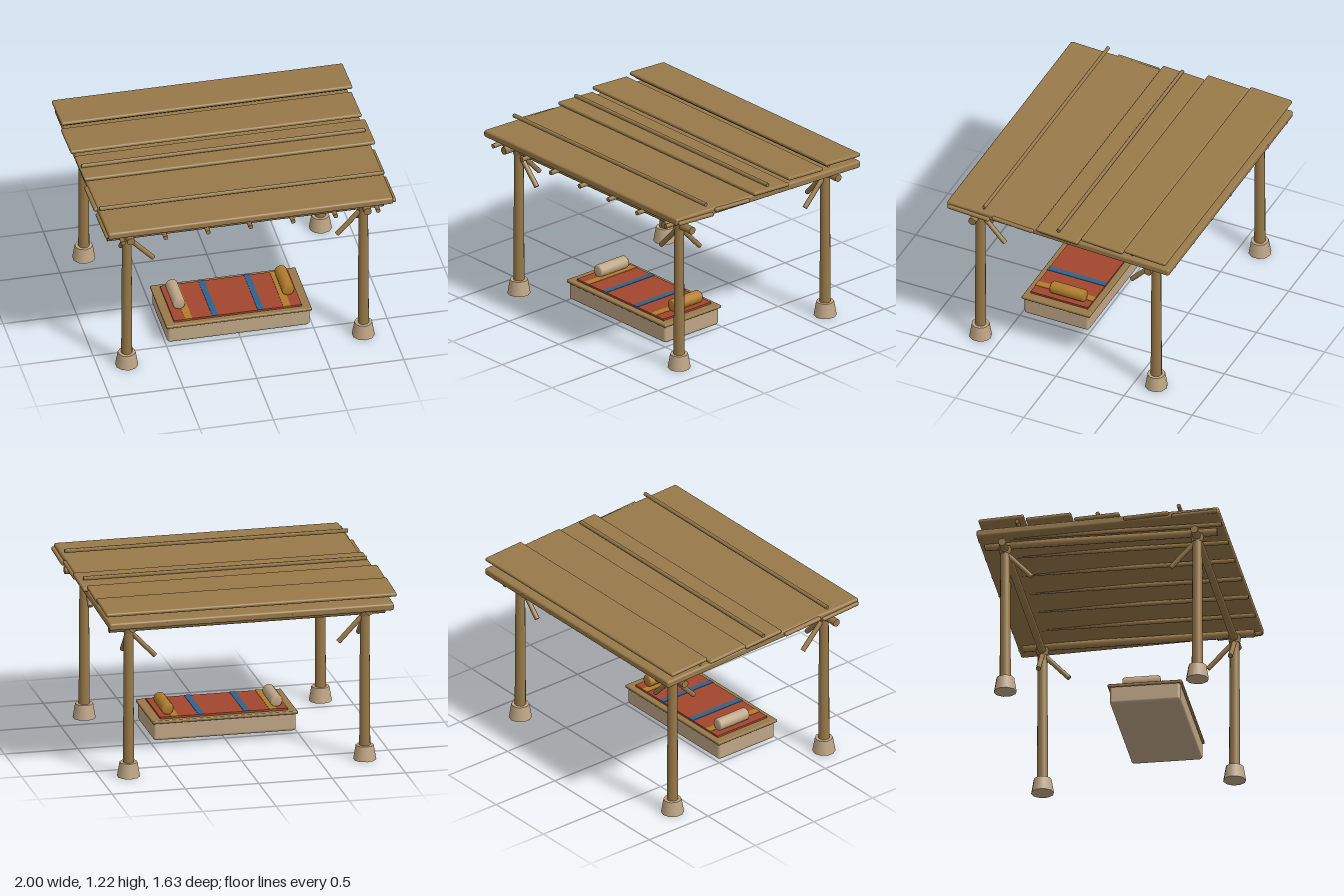
import * as THREE from 'three';
import { RoundedBoxGeometry } from 'three/addons/geometries/RoundedBoxGeometry.js';

const paint = (name, color) => {
  const m = new THREE.MeshStandardMaterial({ color });
  m.name = name;
  return m;
};

export function createModel() {
  const wood = paint('wood', 0x987949);
  const stone = paint('pale clay', 0xbfa686);
  const ochre = paint('ochre cloth', 0xb27c2c);
  const red = paint('red cloth', 0xa2452e);
  const blue = paint('blue cloth', 0x2c6290);

  const model = new THREE.Group();
  model.name = 'shelter';

  const add = (name, geometry, material, x, y, z) => {
    const mesh = new THREE.Mesh(geometry, material);
    mesh.name = name;
    mesh.position.set(x, y, z);
    model.add(mesh);
    return mesh;
  };
  // Round pole between two points
  const pole = (name, a, b, r0, r1 = r0, sides = 10, material = wood) => {
    const from = new THREE.Vector3(...a), to = new THREE.Vector3(...b);
    const dir = to.clone().sub(from);
    const mid = from.clone().add(to).multiplyScalar(0.5);
    const mesh = add(name, new THREE.CylinderGeometry(r1, r0, dir.length(), sides), material, mid.x, mid.y, mid.z);
    mesh.quaternion.setFromUnitVectors(new THREE.Vector3(0, 1, 0), dir.normalize());
    return mesh;
  };
  const slab = (name, w, h, d, r, material, x, y, z) =>
    add(name, new RoundedBoxGeometry(w, h, d, 2, r), material, x, y, z);

  // Posts with footings, collars and a pair of braces each
  const px = 0.805, pz = 0.645;
  for (const sx of [-1, 1]) {
    for (const sz of [-1, 1]) {
      const x = sx * px, z = sz * pz;
      add('footing', new THREE.CylinderGeometry(0.06, 0.077, 0.1, 10), stone, x, 0.05, z);
      pole('post', [x, 0.08, z], [x, 1.07, z], 0.038, 0.032, 12);
      add('collar', new THREE.CylinderGeometry(0.046, 0.036, 0.05, 10), wood, x, 1.03, z);
      pole('sideBrace', [x + sx * 0.01, 1.03, z], [x - sx * 0.18, 0.83, z], 0.017);
      pole('depthBrace', [x, 1.03, z + sz * 0.01], [x, 0.83, z - sz * 0.18], 0.017);
    }
  }

  // Beams along the width and the depth
  for (const s of [-1, 1]) {
    pole('crossBeam', [-0.94, 1.037, s * pz], [0.94, 1.037, s * pz], 0.027);
    pole('sideBeam', [s * px, 1.07, -0.78], [s * px, 1.07, 0.78], 0.027);
  }

  // Rafters
  for (let i = -3; i <= 3; i++) {
    pole('rafter', [i * 0.289, 1.095, -0.815], [i * 0.289, 1.095, 0.82], 0.016, 0.016, 8);
  }

  // Sloping roof sheet
  slab('roofSheet', 1.94, 0.05, 1.63, 0.014, wood, 0.003, 1.127, 0).rotation.x = -0.033;

  // Stepped roof planks: x shift, y, z
  const planks = [
    [0.005, 1.138, 0.65], [0, 1.142, 0.327], [0.01, 1.162, -0.005],
    [-0.01, 1.173, -0.325], [0, 1.186, -0.645],
  ];
  for (const [x, y, z] of planks) {
    slab('roofPlank', 1.98, 0.026, 0.305, 0.011, wood, x, y, z).rotation.x = -0.055;
  }

  // Hold-down poles
  for (const [y, z] of [[1.204, 0.545], [1.186, 0], [1.167, -0.54]]) {
    pole('roofPole', [-0.968, y, z], [0.962, y, z], 0.014, 0.014, 6);
  }

  // Bed: clay body, wooden rim, blanket
  const bx = -0.005, bz = 0.244;
  slab('bedBody', 0.97, 0.13, 0.476, 0.02, stone, bx, 0.077, bz);
  slab('bedRim', 0.99, 0.022, 0.5, 0.007, wood, bx, 0.142, bz);
  add('blanket', new THREE.BoxGeometry(0.87, 0.018, 0.42), red, bx, 0.157, bz);

  // Blanket stripes
  for (const s of [-1, 1]) {
    add('blueStripe', new THREE.BoxGeometry(0.04, 0.005, 0.424), blue, bx + s * 0.155, 0.1665, bz);
    add('ochreStripe', new THREE.BoxGeometry(0.05, 0.005, 0.424), ochre, bx + s * 0.335, 0.1665, bz);
  }

  // Bolsters with softened ends
  const profile = [[0, -0.125], [0.034, -0.125], [0.043, -0.115], [0.043, 0.115], [0.034, 0.125], [0, 0.125]]
    .map(([r, y]) => new THREE.Vector2(r, y));
  for (const [x, material] of [[-0.375, stone], [0.367, ochre]]) {
    add('bolster', new THREE.LatheGeometry(profile, 12), material, x, 0.205, 0.205).rotation.x = Math.PI / 2;
  }

  return model;
}
